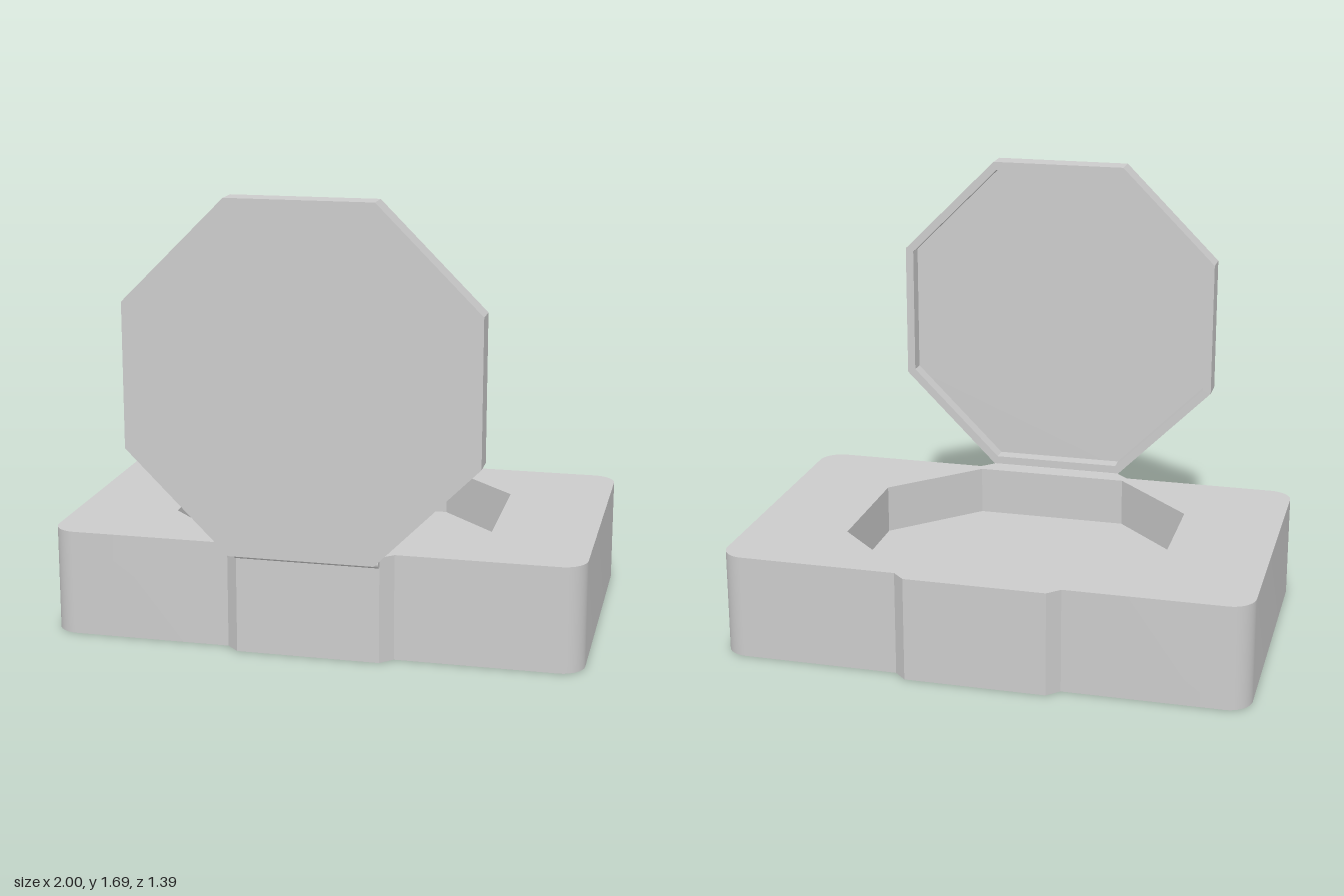
import * as THREE from 'three';
import { toCreasedNormals } from 'three/addons/utils/BufferGeometryUtils.js';

const BASE_H = 0.4, FLOOR_H = 0.21, BASE_Z = -0.05;
const LID_R = 0.645, LID_T = 0.095, SIDE = 0.267;

const material = new THREE.MeshStandardMaterial({ color: 0xcccccc });

// Octagon from half sizes (hx, hy) and half lengths of its flat sides (fx, fy), counter-clockwise
function octagon(hx, hy, fx, fy) {
  return [
    [hx, -fy], [hx, fy], [fx, hy], [-fx, hy],
    [-hx, fy], [-hx, -fy], [-fx, -hy], [fx, -hy],
  ].map(([x, y]) => new THREE.Vector2(x, y));
}

// Rounded rectangle with a chamfered bump in the middle of its two long sides
function baseOutline() {
  const w = 1, d = 0.6, r = 0.09, bump = 0.645, x0 = 0.313;
  const s = new THREE.Shape();
  s.moveTo(w, -d + r);
  s.absarc(w - r, d - r, r, 0, Math.PI / 2);
  s.lineTo(x0, d);
  s.lineTo(SIDE, bump);
  s.lineTo(-SIDE, bump);
  s.lineTo(-x0, d);
  s.absarc(-w + r, d - r, r, Math.PI / 2, Math.PI);
  s.absarc(-w + r, -d + r, r, Math.PI, Math.PI * 1.5);
  s.lineTo(-x0, -d);
  s.lineTo(-SIDE, -bump);
  s.lineTo(SIDE, -bump);
  s.lineTo(x0, -d);
  s.absarc(w - r, -d + r, r, Math.PI * 1.5, Math.PI * 2);
  return s;
}

function extrude(name, shape, depth) {
  const geo = new THREE.ExtrudeGeometry(shape, { depth, bevelEnabled: false, curveSegments: 8 });
  const mesh = new THREE.Mesh(toCreasedNormals(geo, Math.PI / 7), material);
  mesh.name = name;
  return mesh;
}

export function createModel() {
  const model = new THREE.Group();
  model.name = 'hingedBox';

  // Base: block with an octagonal well, closed by a thick floor
  const base = new THREE.Group();
  base.name = 'base';
  const well = octagon(0.613, 0.567, 0.3, 0.253);
  const outline = baseOutline();
  outline.holes.push(new THREE.Path(well));
  base.add(extrude('baseBody', outline, BASE_H));
  base.add(extrude('wellFloor', new THREE.Shape(well), FLOOR_H));
  base.rotation.x = -Math.PI / 2;
  base.position.z = BASE_Z;
  model.add(base);

  // Lid: upright octagonal plate with a shallow recess facing the back
  const lid = new THREE.Group();
  lid.name = 'lid';
  const inner = LID_R - 0.032, innerSide = SIDE * inner / LID_R, recess = 0.06;
  const recessOutline = octagon(inner, inner, innerSide, innerSide);
  const rim = new THREE.Shape(octagon(LID_R, LID_R, SIDE, SIDE));
  rim.holes.push(new THREE.Path(recessOutline));
  lid.add(extrude('lidRim', rim, recess));
  const plate = extrude('lidPlate', new THREE.Shape(octagon(LID_R, LID_R, SIDE, SIDE)), LID_T - recess);
  plate.position.z = recess;
  lid.add(plate);
  lid.position.set(0, BASE_H + LID_R, 0.6);
  model.add(lid);

  // Hinge pin along the front edge
  const hinge = new THREE.Mesh(new THREE.CylinderGeometry(0.018, 0.018, SIDE * 2, 16), material);
  hinge.name = 'hingePin';
  hinge.rotation.z = Math.PI / 2;
  hinge.position.set(0, BASE_H - 0.018, 0.602);
  model.add(hinge);

  return model;
}
